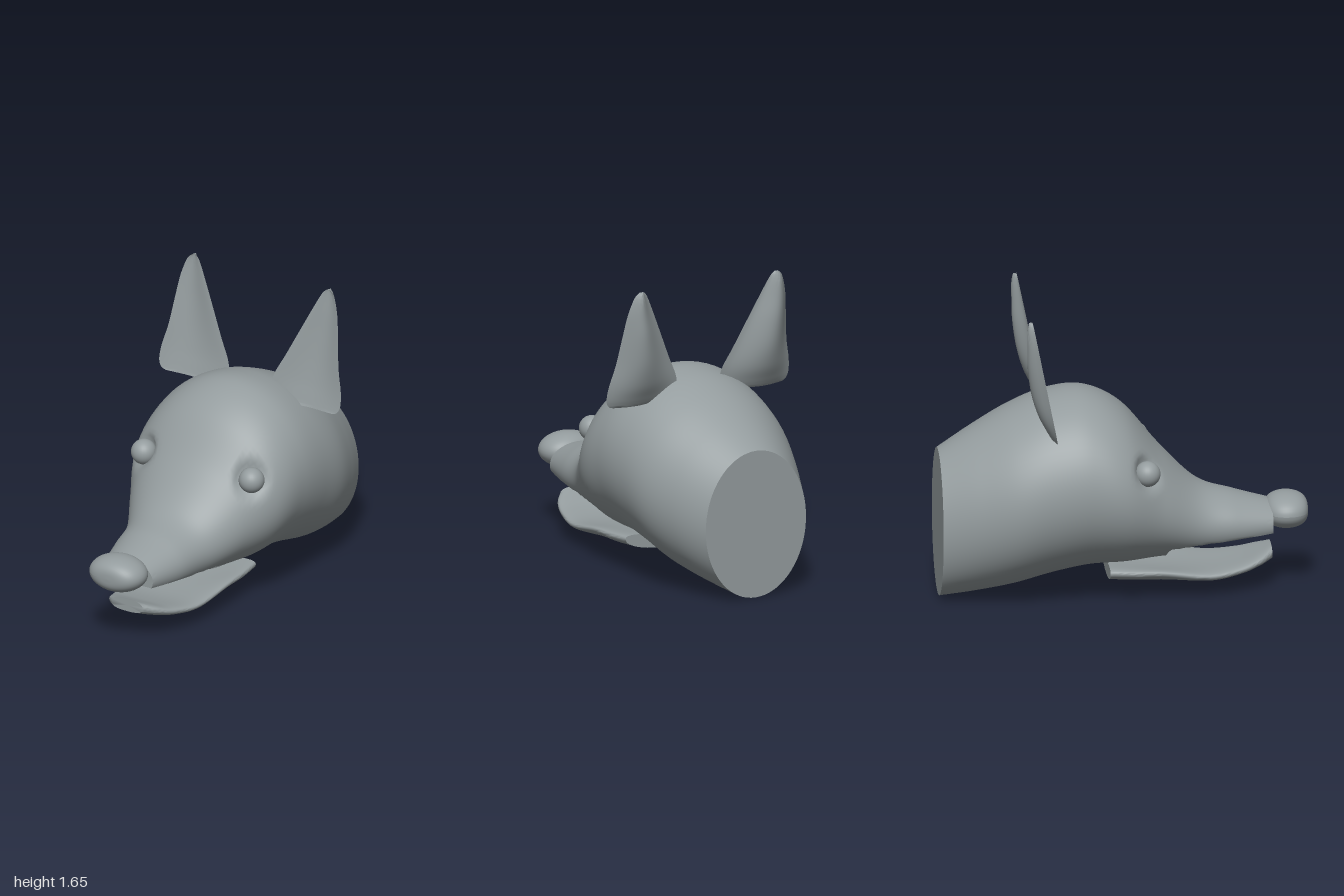
import * as THREE from 'three';
import { toCreasedNormals } from 'three/addons/utils/BufferGeometryUtils.js';

const pow = (v, e) => Math.sign(v) * Math.abs(v) ** e;

// Closed skin over rings of equal length, with capped ends
function loft(rings, crease = 0.9) {
  const n = rings[0].length, pos = [], idx = [];
  rings.forEach(r => r.forEach(p => pos.push(p.x, p.y, p.z)));
  for (let i = 0; i < rings.length - 1; i++) {
    for (let j = 0; j < n; j++) {
      const k = (j + 1) % n;
      const a = i * n + j, b = i * n + k, c = a + n, d = b + n;
      idx.push(a, b, c, b, d, c);
    }
  }
  [0, rings.length - 1].forEach((i, end) => {
    const c = new THREE.Vector3();
    rings[i].forEach(p => c.addScaledVector(p, 1 / n));
    const ci = pos.length / 3;
    pos.push(c.x, c.y, c.z);
    for (let j = 0; j < n; j++) {
      const a = i * n + j, b = i * n + (j + 1) % n;
      if (end) idx.push(ci, a, b);
      else idx.push(ci, b, a);
    }
  });
  const g = new THREE.BufferGeometry();
  g.setAttribute('position', new THREE.Float32BufferAttribute(pos, 3));
  g.setIndex(idx);
  return toCreasedNormals(g, crease);
}

// Smooth curves through rows of up to six numbers, sampled at t = 0..1
function sampler(rows) {
  const make = o => new THREE.CatmullRomCurve3(
    rows.map(r => new THREE.Vector3(r[o], r[o + 1], r[o + 2] ?? 0)), false, 'catmullrom', 0.5);
  const a = make(0), b = make(3);
  return t => [...a.getPoint(t).toArray(), ...(rows[0].length > 3 ? b.getPoint(t).toArray() : [])];
}

const EYE = new THREE.Vector3(0.345, 0.755, 0.1);

// Skull and muzzle: oval sections, cut flat underneath for the open mouth
function headGeometry() {
  // half width, top, bottom at even steps from z = -1 to z = 0.8
  const at = sampler([
    [0.32, 0.82, 0.005], [0.41, 0.945, 0.035], [0.48, 1.055, 0.075], [0.5, 1.13, 0.13],
    [0.5, 1.14, 0.17], [0.475, 1.035, 0.18], [0.37, 0.8, 0.2], [0.265, 0.605, 0.2],
    [0.22, 0.535, 0.22], [0.165, 0.48, 0.26],
  ]);
  const rings = [], N = 90, M = 72;
  for (let i = 0; i <= N; i++) {
    const z = -1 + 1.8 * i / N;
    const [w, top, bottom] = at(i / N);
    const roof = z > 0.235 ? 0.29 + (z - 0.25) * 0.08 : -1;
    const ring = [];
    for (let j = 0; j < M; j++) {
      const a = j / M * Math.PI * 2;
      const p = new THREE.Vector3(
        w * Math.cos(a),
        Math.max(roof, (top + bottom) / 2 + (top - bottom) / 2 * Math.sin(a)), z);
      // shallow eye socket
      const side = Math.sign(p.x) || 1;
      const d = p.distanceTo(new THREE.Vector3(EYE.x * side, EYE.y, EYE.z));
      const dent = 0.05 * Math.exp(-((d / 0.085) ** 4));
      p.x -= side * dent * 0.8;
      p.z -= dent * 0.5;
      ring.push(p);
    }
    rings.push(ring);
  }
  return loft(rings);
}

// Lower jaw: a thin bowed plate curling up at the tip
function jawGeometry() {
  // z, half width, centre height, half thickness, raised sides
  const at = sampler([
    [-0.09, 0.25, 0.132, 0.042, 0.03, 0], [0.05, 0.265, 0.12, 0.04, 0.04, 0],
    [0.2, 0.265, 0.112, 0.036, 0.045, 0], [0.45, 0.245, 0.104, 0.034, 0.02, 0],
    [0.62, 0.205, 0.13, 0.033, 0.012, 0], [0.73, 0.16, 0.168, 0.034, 0.005, 0],
    [0.8, 0.1, 0.198, 0.036, 0, 0],
  ]);
  const rings = [], N = 40, M = 40;
  for (let i = 0; i <= N; i++) {
    const [z, w, y, h, bow] = at(i / N);
    const ring = [];
    for (let j = 0; j < M; j++) {
      const a = j / M * Math.PI * 2;
      const u = pow(Math.cos(a), 0.7);
      ring.push(new THREE.Vector3(w * u, y + h * pow(Math.sin(a), 0.8) + bow * u * u, z));
    }
    rings.push(ring);
  }
  return loft(rings);
}

// Ear: hollowed at the front, ridged at the back, leaning backwards
function earGeometry() {
  // height, inner x, outer x, depth
  const at = sampler([
    [1.0, 0.24, 0.53, 0.025, 0, 0], [1.01, 0.17, 0.56, 0.03, 0, 0], [1.05, 0.14, 0.58, 0.045, 0, 0],
    [1.13, 0.145, 0.574, 0.07, 0, 0], [1.25, 0.205, 0.545, 0.083, 0, 0], [1.4, 0.277, 0.523, 0.075, 0, 0],
    [1.52, 0.335, 0.505, 0.055, 0, 0], [1.6, 0.375, 0.483, 0.04, 0, 0], [1.64, 0.398, 0.464, 0.028, 0, 0],
    [1.66, 0.42, 0.44, 0.02, 0, 0],
  ]);
  const rings = [], N = 45, M = 16;
  for (let i = 0; i <= N; i++) {
    const [y, inner, outer, depth] = at(i / N);
    const front = -0.405 - 0.19 * (y - 1);
    const point = (u, amount) => new THREE.Vector3(
      inner + (outer - inner) * u, y,
      front - depth * amount * Math.sin(Math.PI * u ** 1.3) ** 1.2);
    const ring = [];
    for (let j = 0; j < M; j++) ring.push(point(1 - j / M, 1));
    for (let j = 0; j < M; j++) ring.push(point(j / M, 0.3));
    rings.push(ring);
  }
  return loft(rings);
}

// Nose: a ball with fuller sides
function noseGeometry() {
  const g = new THREE.SphereGeometry(1, 40, 28).rotateX(Math.PI / 2);
  const p = g.attributes.position;
  for (let i = 0; i < p.count; i++) {
    const x = p.getX(i), y = p.getY(i), r = Math.hypot(x, y);
    const k = r > 1e-5 ? r ** -0.35 : 1;
    p.setXYZ(i, x * k * 0.165, y * k * 0.098, p.getZ(i) * 0.117);
  }
  g.computeVertexNormals();
  return g;
}

export function createModel() {
  const model = new THREE.Group();
  model.name = 'animalHead';
  const grey = new THREE.MeshStandardMaterial({ color: 0x949c9e });
  grey.name = 'grey';
  const add = (name, geometry) => {
    const mesh = new THREE.Mesh(geometry, grey);
    mesh.name = name;
    model.add(mesh);
    return mesh;
  };

  add('head', headGeometry());
  add('lowerJaw', jawGeometry());
  add('nose', noseGeometry()).position.set(0, 0.423, 0.883);

  // Mirrored pairs
  const ear = earGeometry(), eye = new THREE.SphereGeometry(0.07, 28, 20);
  for (const [side, s] of [['left', 1], ['right', -1]]) {
    add(side + 'Ear', ear).scale.x = s;
    add(side + 'Eye', eye).position.set(EYE.x * s, EYE.y, EYE.z);
  }
  return model;
}
